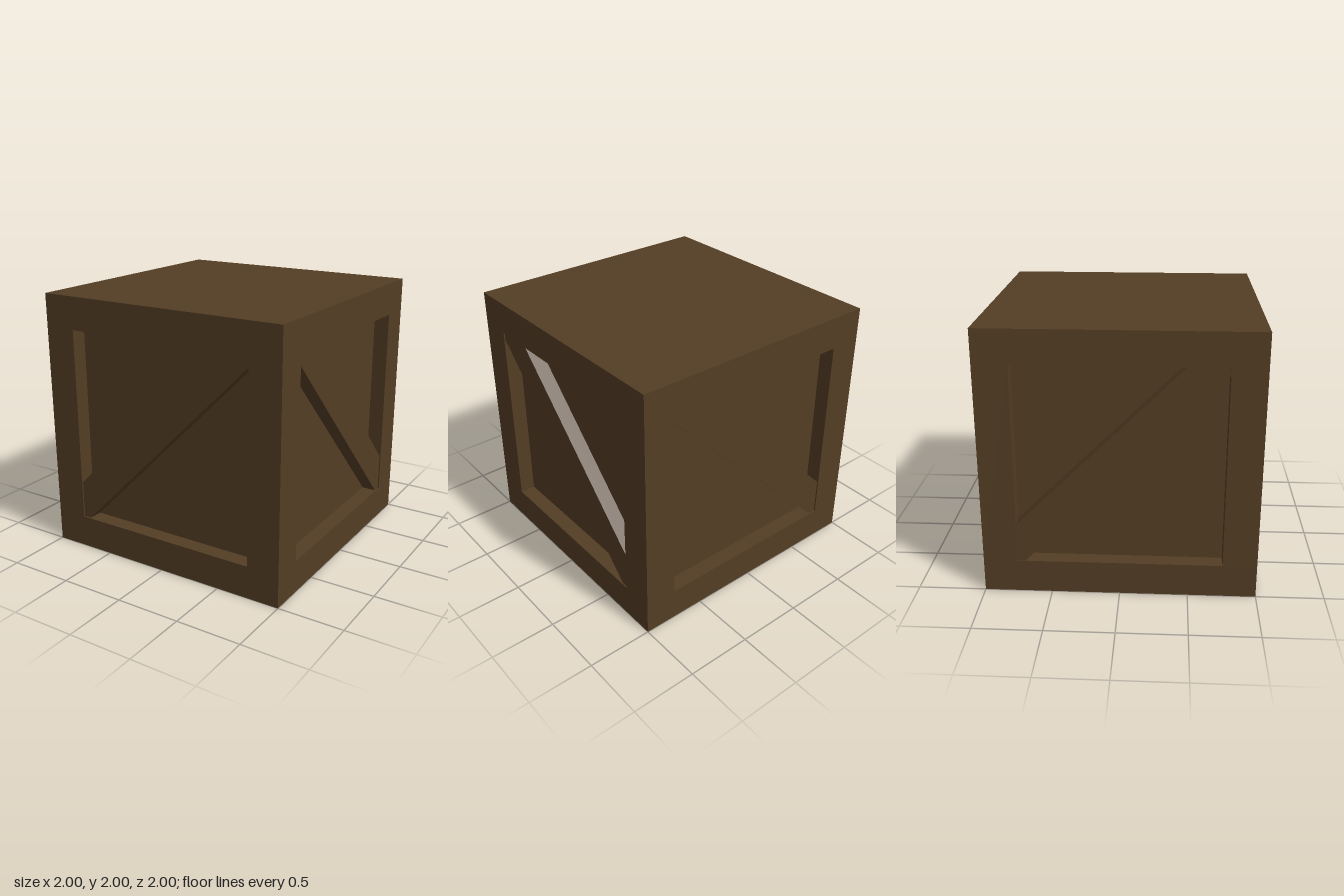
import * as THREE from 'three';

const HALF = 1;       // half the crate's side
const INNER = 0.75;   // half the side of each framed opening
const DEPTH = 0.12;   // how far the side panels are set back
const INSET = 0.01;   // how far the braces sit behind the frame

export function createModel() {
  const crate = new THREE.Group();
  crate.name = 'crate';
  const wood = new THREE.MeshStandardMaterial({ color: 0x543e24 });
  wood.name = 'dark wood';

  function add(parent, name, geometry, x = 0, y = 0, z = 0) {
    const mesh = new THREE.Mesh(geometry, wood);
    mesh.name = name;
    mesh.position.set(x, y, z);
    parent.add(mesh);
    return mesh;
  }

  // Solid bottom and top
  const rail = HALF - INNER;
  const slab = new THREE.BoxGeometry(2 * HALF, rail, 2 * HALF);
  add(crate, 'bottom', slab, 0, rail / 2, 0);
  add(crate, 'lid', slab, 0, 2 * HALF - rail / 2, 0);

  // Corner posts
  const post = new THREE.BoxGeometry(rail, 2 * INNER, rail);
  const corner = HALF - rail / 2;
  for (const x of [-corner, corner]) {
    for (const z of [-corner, corner]) add(crate, 'cornerPost', post, x, HALF, z);
  }

  // Set-back panels on all four sides
  const core = 2 * (HALF - DEPTH);
  add(crate, 'sidePanels', new THREE.BoxGeometry(core, 2 * INNER, core), 0, HALF, 0);

  // Diagonal brace cut to the opening; mirror = -1 flips its slope
  function braceGeometry(mirror) {
    const outline = [
      [-0.75, -0.75], [-0.69, -0.75], [0.75, 0.69],
      [0.75, 0.75], [0.46, 0.75], [-0.75, -0.46],
    ];
    const shape = new THREE.Shape(outline.map(([x, y]) => new THREE.Vector2(x * mirror, y)));
    return new THREE.ExtrudeGeometry(shape, { depth: DEPTH - INSET, bevelEnabled: false });
  }

  // Front, right view side, back and opposite side
  [['front', 1], ['left', -1], ['back', -1], ['right', 1]].forEach(([side, mirror], i) => {
    const group = new THREE.Group();
    group.name = side + 'Side';
    group.rotation.y = i * Math.PI / 2;
    add(group, side + 'Brace', braceGeometry(mirror), 0, HALF, HALF - DEPTH);
    crate.add(group);
  });

  return crate;
}
